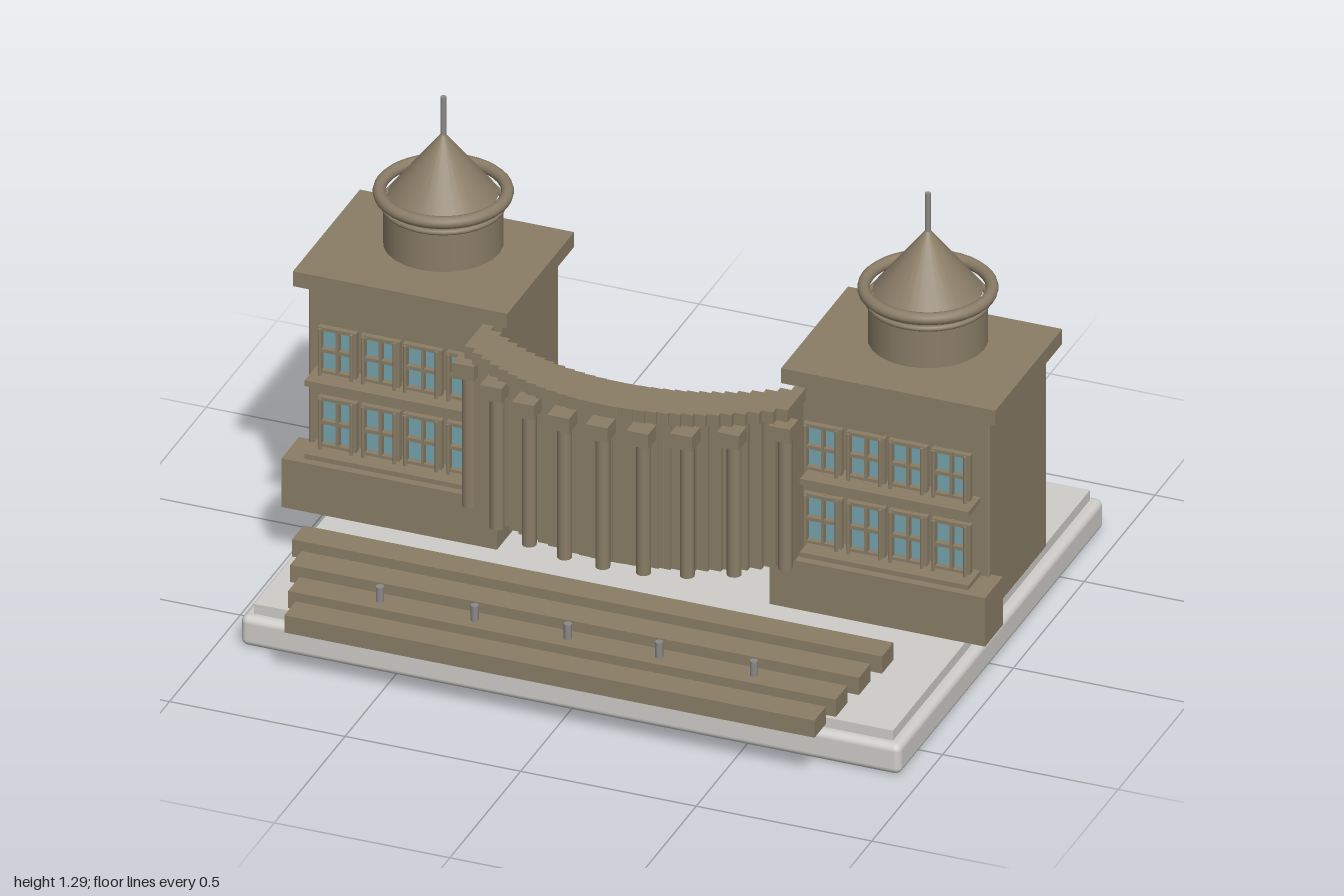
import * as THREE from 'three';
import { RoundedBoxGeometry } from 'three/addons/geometries/RoundedBoxGeometry.js';

const mat = (name, color, extra = {}) => {
  const m = new THREE.MeshStandardMaterial({ color, ...extra });
  m.name = name;
  return m;
};

export function createModel() {
  const model = new THREE.Group();
  model.name = 'building';
  const stone = mat('stone', 0x8a7d67);
  const stoneFlat = stone;
  const plaster = mat('plaster', 0xcfcdc9);
  const glass = mat('glass', 0x74a3ab);
  const metal = mat('metal', 0x8c8a88);

  const add = (parent, name, geo, material, x = 0, y = 0, z = 0) => {
    const m = new THREE.Mesh(geo, material);
    m.name = name;
    m.position.set(x, y, z);
    parent.add(m);
    return m;
  };
  // Box given by its limits on each axis
  const box = (parent, name, material, x0, x1, y0, y1, z0, z1) =>
    add(parent, name, new THREE.BoxGeometry(x1 - x0, y1 - y0, z1 - z0), material,
      (x0 + x1) / 2, (y0 + y1) / 2, (z0 + z1) / 2);
  const group = (parent, name) => {
    const g = new THREE.Group();
    g.name = name;
    parent.add(g);
    return g;
  };

  // Display base
  add(model, 'base', new RoundedBoxGeometry(1.88, 0.09, 1.445, 3, 0.02), plaster, 0, 0.045, -0.069);
  box(model, 'baseTop', plaster, -0.91, 0.91, 0.085, 0.12, -0.765, 0.627);

  // Two window rows, each with paired panes, bars, posts and a ledge
  const windowRow = (parent, s, y0, y1) => {
    const row = group(parent, 'windowRow');
    const mid = (y0 + y1) / 2;
    [0.508, 0.631, 0.751, 0.874].forEach((cx) => {
      const x = s * cx;
      box(row, 'windowGlass', glass, x - 0.047, x + 0.047, y0, y1, 0.104, 0.112);
      for (const dx of [-0.05, 0, 0.05]) {
        const w = dx ? 0.005 : 0.004;
        box(row, 'windowBar', stone, x + dx - w, x + dx + w, y0, y1 + 0.006, 0.112, 0.13);
      }
      for (const y of [y0, mid, y1]) {
        box(row, 'windowRail', stone, x - 0.054, x + 0.054, y - 0.005, y + 0.005, 0.112, 0.128);
      }
      for (const dx of [-0.045, 0.045]) {
        add(row, 'windowPost', new THREE.CylinderGeometry(0.005, 0.005, y1 - y0 + 0.015, 8), stone,
          x + dx, mid, 0.141);
      }
    });
    const a = s * 0.465, b = s * 0.945;
    box(row, 'windowLedge', stone, Math.min(a, b), Math.max(a, b), y0 - 0.02, y0 - 0.003, 0.095, 0.182);
  };

  // Side wings with round turrets
  for (const s of [-1, 1]) {
    const wing = group(model, s > 0 ? 'leftWing' : 'rightWing');
    const cx = s * 0.695;
    add(wing, 'wingBody', new RoundedBoxGeometry(0.55, 0.61, 0.405, 2, 0.006), stone, cx, 0.505, -0.108);
    box(wing, 'wingRoof', stone, cx - 0.305, cx + 0.305, 0.803, 0.848, -0.345, 0.128);
    box(wing, 'wingPlinth', stone, cx - 0.307, cx + 0.307, 0.173, 0.32, 0.08, 0.205);
    windowRow(wing, s, 0.337, 0.478);
    windowRow(wing, s, 0.56, 0.69);

    const turret = group(wing, 'turret');
    turret.position.set(s * 0.69, 0, -0.165);
    add(turret, 'turretDrum', new THREE.CylinderGeometry(0.16, 0.16, 0.19, 24, 1, true), stoneFlat, 0, 0.885, 0);
    const bead = add(turret, 'turretBead', new THREE.TorusGeometry(0.16, 0.008, 8, 32), stone, 0, 0.968, 0);
    bead.rotation.x = Math.PI / 2;
    const ring = add(turret, 'turretRing', new THREE.TorusGeometry(0.17, 0.017, 12, 40), stone, 0, 1.004, 0);
    ring.rotation.x = Math.PI / 2;
    add(turret, 'turretCone', new THREE.ConeGeometry(0.146, 0.188, 32), stone, 0, 1.092, 0);
    add(turret, 'spire', new THREE.CylinderGeometry(0.008, 0.008, 0.115, 10), metal, 0, 1.233, 0);
  }

  // Bowed central wall, stepped from upright slabs under a cornice
  const bow = (x, r) => Math.sqrt(r * r - x * x) - r;
  const wall = group(model, 'curvedWall');
  const n = 29, half = 0.46, w = (2 * half) / n;
  for (let i = 0; i < n; i++) {
    const x = -half + (i + 0.5) * w;
    const z = 0.345 + bow(x, 0.72);
    box(wall, 'wallSlab', stone, x - w / 2, x + w / 2, 0.32, 0.77, z - 0.048, z + 0.048);
    box(wall, 'corniceBlock', stone, x - w / 2, x + w / 2, 0.766, 0.802, z - 0.065, z + 0.065);
  }

  // Nine columns along the bow
  const columns = group(model, 'columns');
  for (let i = -4; i <= 4; i++) {
    const x = i * 0.1125;
    const z = bow(x, 0.67);
    add(columns, 'columnShaft', new THREE.CylinderGeometry(0.02, 0.02, 0.405, 12), stone, x, 0.52, 0.42 + z);
    box(columns, 'columnCapital', stone, x - 0.031, x + 0.031, 0.722, 0.766, 0.405 + z, 0.465 + z);
  }

  // Front steps
  const steps = group(model, 'steps');
  [[0.84, 0.228, 0.45], [0.81, 0.203, 0.538], [0.78, 0.177, 0.627], [0.755, 0.155, 0.716]].forEach(
    ([hx, y, z]) => box(steps, 'step', stone, -hx, hx, y, y + 0.052, z, z + 0.081));

  // Railing posts on the steps
  for (const x of [-0.535, -0.265, 0, 0.26, 0.53]) {
    add(steps, 'railPost', new THREE.CylinderGeometry(0.011, 0.011, 0.122, 10), metal, x, 0.213, 0.667);
  }
  return model;
}
